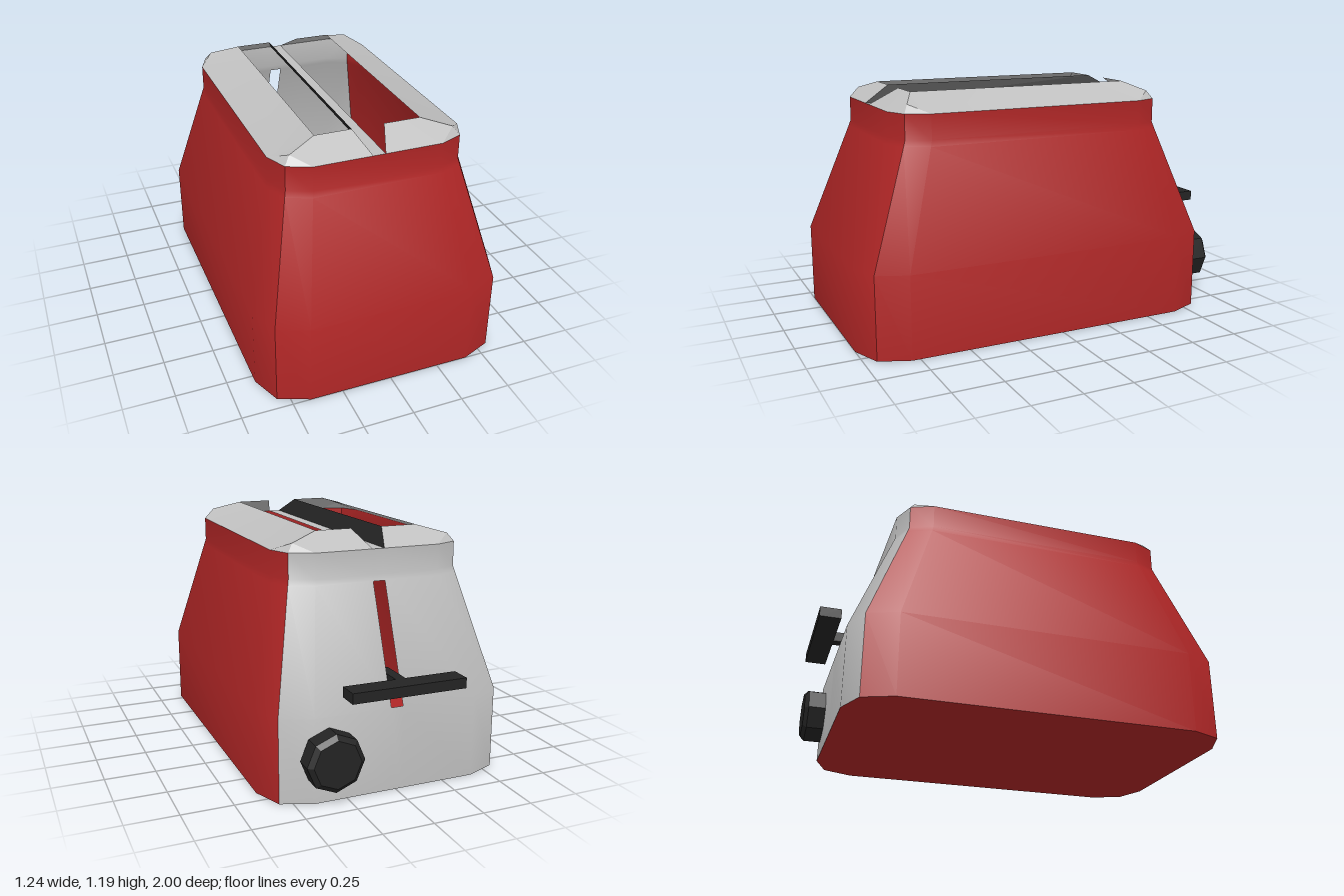
import * as THREE from 'three';
import { toCreasedNormals } from 'three/addons/utils/BufferGeometryUtils.js';

const SLOT = 0.03; // half width of the lever slot and of the central rail
const BODY_Z = 0.06; // the body sits slightly forward, the lever sticks out behind

function paint(name, color, side = THREE.FrontSide) {
  const m = new THREE.MeshStandardMaterial({ color, side });
  m.name = name;
  return m;
}

// Mesh from a list of triangles, each [a, b, c] of [x, y, z] points
function sheet(name, tris, material, crease = 0.6) {
  const g = new THREE.BufferGeometry();
  g.setAttribute('position', new THREE.Float32BufferAttribute(tris.flat(2), 3));
  const mesh = new THREE.Mesh(toCreasedNormals(g, crease), material);
  mesh.name = name;
  return mesh;
}

const quad = (a, b, c, d) => [[a, b, c], [a, c, d]];

// Rounded rectangle at height y; two extra points mark the slot at the back
function ring([y, hx, hz, c1, c2]) {
  const corner = [[hx, hz - c1], [hx - c2, hz - c2], [hx - c1, hz]];
  const turn = (sx, sz) => {
    const pts = corner.map(([x, z]) => [x * sx, y, z * sz]);
    return sx * sz > 0 ? pts : pts.reverse();
  };
  return [...turn(1, 1), ...turn(-1, 1), ...turn(-1, -1),
    [-SLOT, y, -hz], [SLOT, y, -hz], ...turn(1, -1)];
}

function box(name, w, h, d, x, y, z, material) {
  const mesh = new THREE.Mesh(new THREE.BoxGeometry(w, h, d), material);
  mesh.position.set(x, y, z);
  mesh.name = name;
  return mesh;
}

export function createModel() {
  const red = paint('red enamel', 0xb02626, THREE.DoubleSide);
  const silver = paint('silver metal', 0xc0c0c0, THREE.DoubleSide);
  const black = paint('black plastic', 0x242424, THREE.DoubleSide);

  const model = new THREE.Group();
  model.name = 'toaster';
  const body = new THREE.Group();
  body.name = 'body';
  body.position.z = BODY_Z;
  model.add(body);

  // Hollow shell: red front and sides, silver back panel with an open slot
  const rings = [
    [0, 0.62, 0.94, 0.21, 0.06],
    [0.41, 0.62, 0.94, 0.21, 0.06],
    [0.96, 0.483, 0.731, 0.163, 0.048],
    [0.99, 0.475, 0.72, 0.16, 0.047],
    [1.11, 0.475, 0.72, 0.16, 0.047],
  ].map(ring);
  const shellTris = [], backTris = [];
  for (let r = 0; r < rings.length - 1; r++) {
    const lo = rings[r], hi = rings[r + 1], n = lo.length;
    for (let i = 0; i < n; i++) {
      if (i === 9 && r === 1) continue; // lever slot
      const j = (i + 1) % n;
      const target = i >= 7 && i <= 11 ? backTris : shellTris;
      target.push(...quad(lo[i], hi[i], hi[j], lo[j]));
    }
  }
  body.add(sheet('shell', shellTris, red), sheet('backPanel', backTris, silver));

  // Floor
  const base = rings[0];
  body.add(sheet('floor', base.map((p, i) => [[0, 0, 0], p, base[(i + 1) % base.length]]), red));

  // Top rim: one quarter, mirrored four times
  const A = [0.475, 1.11, 0.56], A0 = [0.475, 1.11, 0];
  const B = [0.428, 1.11, 0.673], C = [0.315, 1.11, 0.72];
  const M = [0.4, 1.15, 0.65];
  const T = [0.26, 1.19, 0.585], T0 = [0.26, 1.19, 0];
  const N = [0.08, 1.19, 0.585], N1 = [SLOT, 1.11, 0.72];
  const quarter = [...quad(A, A0, T0, T), [A, T, M], [A, M, B], [B, M, C], [C, M, T],
    ...quad(C, T, N, N1)];
  const rimTris = [];
  for (const sx of [1, -1]) {
    for (const sz of [1, -1]) {
      for (const tri of quarter) {
        const t = tri.map(([x, y, z]) => [x * sx, y, z * sz]);
        rimTris.push(sx * sz > 0 ? t : t.reverse());
      }
    }
  }
  body.add(sheet('topRim', rimTris, silver, 0.4));

  // Flat rail between the two bread slots, with a sloping guide on one side
  body.add(sheet('centerRail', quad(
    [-SLOT, 1.11, 0.72], [SLOT, 1.11, 0.72], [SLOT, 1.11, -0.72], [-SLOT, 1.11, -0.72]), silver));
  body.add(sheet('breadGuide', quad(
    [-SLOT, 1.11, 0.72], [-SLOT, 1.11, -0.72], [-0.08, 1.19, -0.585], [-0.08, 1.19, 0.585]), black));

  // Lever
  const lever = new THREE.Group();
  lever.name = 'lever';
  lever.add(
    box('leverHandle', 0.57, 0.05, 0.105, -0.005, 0.525, -0.9475, black),
    box('leverStem', 0.05, 0.05, 0.18, -0.005, 0.525, -0.805, black));
  model.add(lever);

  // Eight-sided knob with a bevelled face
  const profile = [[0, 0], [0.14, 0], [0.14, 0.085], [0.115, 0.105], [0, 0.105]];
  const knobGeo = toCreasedNormals(
    new THREE.LatheGeometry(profile.map(([x, y]) => new THREE.Vector2(x, y)), 8), 0.1);
  const knob = new THREE.Mesh(knobGeo, black);
  knob.name = 'knob';
  knob.rotation.x = -Math.PI / 2;
  knob.position.set(0.34, 0.22, -0.88);
  model.add(knob);

  return model;
}
